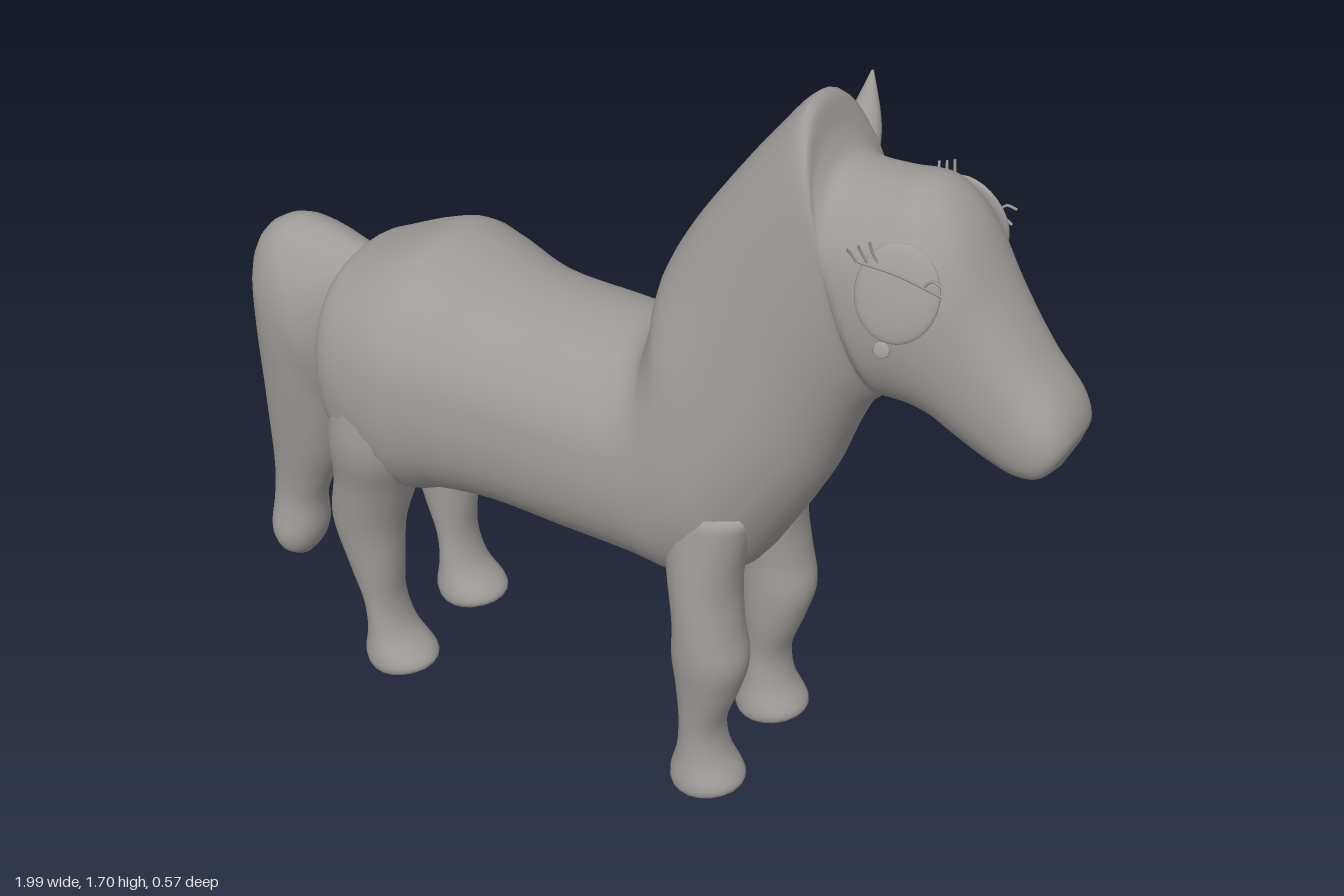
import * as THREE from 'three';

const coat = new THREE.MeshStandardMaterial({ color: 0xa09c99, side: THREE.DoubleSide });
coat.name = 'greyCoat';

// Smooth closed loft. Each section: [ax, ay, bx, by, halfWidth, zCentre];
// A and B are opposite edge points of the ring in the side plane.
function loft(name, sections, { round = 1, sides = 28, steps = 5 } = {}) {
  const curve = (f) => new THREE.CatmullRomCurve3(sections.map(f), false, 'catmullrom', 0.5);
  const edgeA = curve((s) => new THREE.Vector3(s[0], s[1], 0));
  const edgeB = curve((s) => new THREE.Vector3(s[2], s[3], 0));
  const width = curve((s) => new THREE.Vector3(s[4], s[5] || 0, 0));
  const rows = (sections.length - 1) * steps;
  const power = (v) => Math.sign(v) * Math.pow(Math.abs(v), round);
  const pos = [], index = [];
  for (let i = 0; i <= rows; i++) {
    const a = edgeA.getPoint(i / rows), b = edgeB.getPoint(i / rows), w = width.getPoint(i / rows);
    for (let j = 0; j < sides; j++) {
      const t = (j / sides) * Math.PI * 2, c = power(Math.cos(t)), s = power(Math.sin(t));
      pos.push((a.x + b.x + c * (a.x - b.x)) / 2, (a.y + b.y + c * (a.y - b.y)) / 2, w.y + w.x * s);
      if (i < rows) {
        const k = (j + 1) % sides, p = i * sides, q = p + sides;
        index.push(p + j, p + k, q + k, p + j, q + k, q + j);
      }
    }
  }
  // End caps
  for (const [row, flip] of [[0, true], [rows, false]]) {
    const s = sections[row ? sections.length - 1 : 0], centre = pos.length / 3;
    pos.push((s[0] + s[2]) / 2, (s[1] + s[3]) / 2, s[5] || 0);
    for (let j = 0; j < sides; j++) {
      const p = row * sides + j, q = row * sides + ((j + 1) % sides);
      index.push(centre, flip ? q : p, flip ? p : q);
    }
  }
  const g = new THREE.BufferGeometry();
  g.setAttribute('position', new THREE.Float32BufferAttribute(pos, 3));
  g.setIndex(index);
  g.computeVertexNormals();
  const mesh = new THREE.Mesh(g, coat);
  mesh.name = name;
  return mesh;
}

// Leg from rows of [y, frontX, backX, halfWidth, zCentre]
const leg = (name, side, rows) =>
  loft(name, rows.map(([y, f, b, w, z]) => [f, y, b, y, w, side * z]), { sides: 20 });

const FRONT_LEG = [
  [0.78, 0.36, 0.14, 0.085, 0.13], [0.6, 0.33, 0.17, 0.09, 0.142], [0.48, 0.34, 0.188, 0.085, 0.152],
  [0.39, 0.357, 0.186, 0.083, 0.152], [0.3, 0.335, 0.195, 0.074, 0.148], [0.2, 0.303, 0.203, 0.062, 0.148],
  [0.12, 0.315, 0.197, 0.066, 0.146], [0.055, 0.352, 0.182, 0.08, 0.146], [0.025, 0.325, 0.19, 0.07, 0.146],
  [0.01, 0.28, 0.22, 0.03, 0.146],
];
const HIND_LEG = [
  [0.85, -0.4, -0.66, 0.1, 0.17], [0.68, -0.43, -0.675, 0.11, 0.172], [0.55, -0.485, -0.68, 0.095, 0.158],
  [0.42, -0.528, -0.7, 0.08, 0.152], [0.3, -0.54, -0.665, 0.068, 0.15], [0.2, -0.545, -0.63, 0.06, 0.148],
  [0.12, -0.52, -0.625, 0.066, 0.146], [0.055, -0.462, -0.635, 0.08, 0.146], [0.025, -0.49, -0.62, 0.07, 0.146],
  [0.01, -0.53, -0.59, 0.03, 0.146],
];

// Curved eye plate with lid line, lashes and a small drop
function eye(side) {
  const g = new THREE.Group();
  g.name = side > 0 ? 'leftEye' : 'rightEye';
  const add = (name, geometry, x = 0, y = 0, z = 0) => {
    const m = new THREE.Mesh(geometry, coat);
    m.name = name;
    m.position.set(x, y, z * side);
    g.add(m);
  };
  const line = (name, pts) => add(name, new THREE.TubeGeometry(
    new THREE.CatmullRomCurve3(pts.map(([x, y, z]) => new THREE.Vector3(x, y, z * side))), 8, 0.003, 5));
  add('eyeball', new THREE.SphereGeometry(1, 28, 16).scale(0.083, 0.1, 0.016));
  line('eyelid', [[-0.085, 0.045, 0.006], [0, 0.04, 0.017], [0.085, 0.015, 0.006]]);
  for (let i = 0; i < 3; i++) {
    const x = -0.085 + i * 0.02;
    line('eyelash', [[x, 0.045 + i * 0.004, 0.008], [x - 0.012, 0.062 + i * 0.006, 0.018],
      [x - 0.018, 0.07 + i * 0.012, 0.028]]);
  }
  line('innerLash', [[0.05, 0.03, 0.012], [0.065, 0.045, 0.02], [0.085, 0.04, 0.025]]);
  add('drop', new THREE.SphereGeometry(1, 12, 8).scale(0.017, 0.017, 0.004), -0.01, -0.115, 0.002);
  g.position.set(0.665, 1.43, side * 0.168);
  g.rotation.set(-side * 0.28, side * 0.2, 0);
  return g;
}

export function createModel() {
  const horse = new THREE.Group();
  horse.name = 'horse';

  // Torso, sweeping up the neck and round into the head
  horse.add(loft('bodyNeckAndHead', [
    [-0.715, 0.95, -0.715, 0.76, 0.1], [-0.70, 1.02, -0.70, 0.68, 0.19], [-0.64, 1.055, -0.64, 0.57, 0.255],
    [-0.5, 1.115, -0.5, 0.51, 0.287], [-0.4, 1.102, -0.4, 0.535, 0.27], [-0.27, 1.065, -0.27, 0.545, 0.243],
    [-0.1, 1.06, -0.1, 0.54, 0.24], [0.01, 1.06, 0.08, 0.537, 0.24], [0.07, 1.095, 0.2, 0.525, 0.24],
    [0.087, 1.16, 0.31, 0.575, 0.237], [0.1, 1.26, 0.38, 0.68, 0.225], [0.15, 1.365, 0.46, 0.83, 0.2],
    [0.22, 1.475, 0.51, 0.965, 0.18], [0.31, 1.6, 0.55, 1.05, 0.168], [0.4, 1.705, 0.59, 1.095, 0.16],
    [0.44, 1.63, 0.605, 1.105, 0.163], [0.48, 1.583, 0.62, 1.108, 0.167], [0.57, 1.582, 0.64, 1.11, 0.168],
    [0.66, 1.588, 0.67, 1.108, 0.167], [0.74, 1.53, 0.71, 1.095, 0.155], [0.82, 1.4, 0.76, 1.065, 0.134],
    [0.9, 1.285, 0.82, 1.035, 0.118], [0.97, 1.2, 0.88, 1.02, 0.112], [0.993, 1.14, 0.93, 1.027, 0.092],
    [0.985, 1.1, 0.965, 1.055, 0.045],
  ], { round: 0.88, sides: 36 }));

  // Tail arching back and hanging down
  horse.add(loft('tail', [
    [-0.64, 0.76, -0.64, 1.0, 0.08], [-0.73, 0.71, -0.73, 1.025, 0.1], [-0.75, 0.66, -0.82, 1.042, 0.125],
    [-0.755, 0.63, -0.9, 1.038, 0.135], [-0.765, 0.58, -0.965, 0.985, 0.13], [-0.775, 0.52, -0.985, 0.88, 0.12],
    [-0.8, 0.43, -0.983, 0.6, 0.095], [-0.84, 0.34, -0.982, 0.38, 0.07], [-0.865, 0.27, -0.99, 0.27, 0.065],
    [-0.87, 0.19, -1.0, 0.18, 0.077], [-0.885, 0.14, -0.98, 0.13, 0.065], [-0.91, 0.105, -0.95, 0.105, 0.03],
  ]));

  // Single pointed ear on the right side
  horse.add(loft('rightEar', [
    [0.37, 1.48, 0.46, 1.45, 0.05, -0.12], [0.38, 1.56, 0.46, 1.54, 0.036, -0.15],
    [0.395, 1.61, 0.445, 1.6, 0.02, -0.172], [0.415, 1.67, 0.42, 1.67, 0.003, -0.19],
  ], { sides: 14 }));

  for (const side of [1, -1]) {
    const label = side > 0 ? 'left' : 'right';
    horse.add(leg(label + 'FrontLeg', side, FRONT_LEG), leg(label + 'HindLeg', side, HIND_LEG), eye(side));
  }
  return horse;
}
